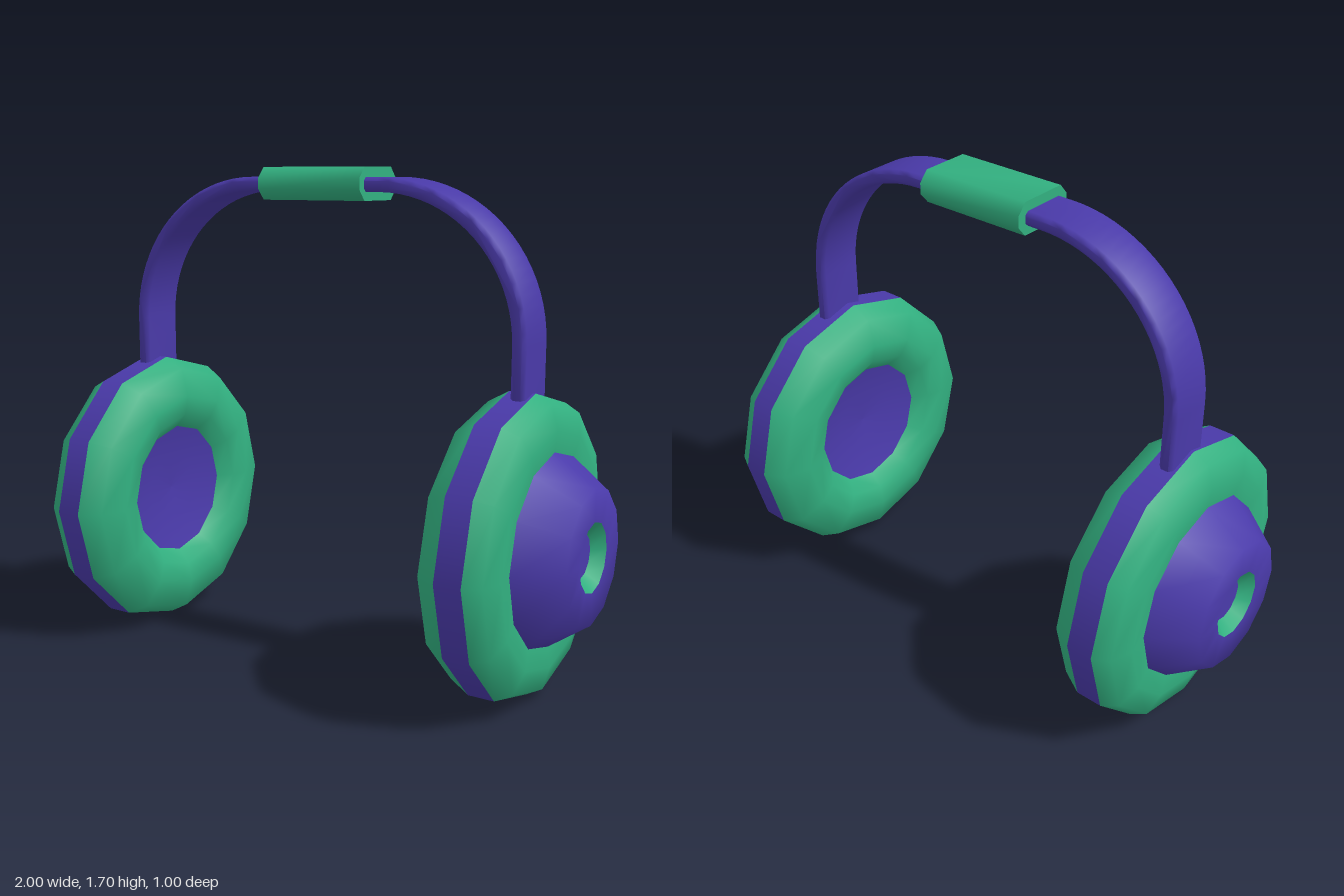
import * as THREE from 'three';
import { toCreasedNormals } from 'three/addons/utils/BufferGeometryUtils.js';

const purple = new THREE.MeshStandardMaterial({ color: 0x4a3aaa });
const green = new THREE.MeshStandardMaterial({ color: 0x32b080 });
purple.name = 'purple';
green.name = 'green';

function addMesh(parent, name, geometry, material) {
  const mesh = new THREE.Mesh(geometry, material);
  mesh.name = name;
  parent.add(mesh);
  return mesh;
}

// Twelve-sided ring turned around the x axis; points are [radius, x]
function turned(points) {
  const profile = points.map(([r, x]) => new THREE.Vector2(r, x));
  return new THREE.LatheGeometry(profile, 12).rotateZ(-Math.PI / 2);
}

// One ear cup, listed from the ear side to the outer side
function createCup(name) {
  const cup = new THREE.Group();
  cup.name = name;
  addMesh(cup, 'speakerDish', turned([[0, 0.69], [0.13, 0.682], [0.24, 0.655]]), purple);
  addMesh(cup, 'earCushion',
    turned([[0.24, 0.655], [0.29, 0.612], [0.36, 0.6], [0.46, 0.627], [0.5, 0.7]]), green);
  addMesh(cup, 'cupBand', turned([[0.5, 0.7], [0.5, 0.79]]), purple);
  addMesh(cup, 'outerShell',
    turned([[0.5, 0.79], [0.47, 0.845], [0.39, 0.868], [0.32, 0.86]]), green);
  addMesh(cup, 'outerCap', turned([[0.32, 0.86], [0.222, 1], [0.115, 1]]), purple);
  addMesh(cup, 'capRing', turned([[0.115, 1], [0.075, 0.96]]), green);
  addMesh(cup, 'capCentre', turned([[0.075, 0.96], [0, 0.96]]), purple);
  cup.position.y = 0.5;
  return cup;
}

// Arched strip with straight legs and slightly bevelled edges
function createHeadband() {
  const arch = new THREE.Shape();
  arch.moveTo(0.78, 0.95);
  arch.lineTo(0.78, 1.15);
  arch.absellipse(0.25, 1.15, 0.53, 0.515, 0, Math.PI / 2, false);
  arch.absellipse(-0.25, 1.15, 0.53, 0.515, Math.PI / 2, Math.PI, false);
  arch.lineTo(-0.78, 0.95);
  arch.lineTo(-0.73, 0.95);
  arch.lineTo(-0.73, 1.15);
  arch.absellipse(-0.25, 1.15, 0.48, 0.467, Math.PI, Math.PI / 2, true);
  arch.absellipse(0.25, 1.15, 0.48, 0.467, Math.PI / 2, 0, true);
  arch.lineTo(0.73, 0.95);
  const geometry = new THREE.ExtrudeGeometry(arch, {
    depth: 0.151, curveSegments: 10, bevelEnabled: true,
    bevelThickness: 0.012, bevelSize: 0.012, bevelOffset: -0.012, bevelSegments: 1,
  });
  geometry.translate(0, 0, -0.0955);
  return toCreasedNormals(geometry, Math.PI / 3);
}

// Eight-sided sleeve around the top of the headband
function createSleeve() {
  const w = 0.118, h = 0.055, cz = 0.032, cy = 0.036;
  const section = new THREE.Shape([
    [w, -h + cy], [w, h - cy], [w - cz, h], [-w + cz, h],
    [-w, h - cy], [-w, -h + cy], [-w + cz, -h], [w - cz, -h],
  ].map(([a, b]) => new THREE.Vector2(a, b)));
  const geometry = new THREE.ExtrudeGeometry(section, { depth: 0.4, bevelEnabled: false });
  geometry.translate(0, 0, -0.2).rotateY(Math.PI / 2).translate(0, 1.643, -0.022);
  return toCreasedNormals(geometry, Math.PI / 3);
}

export function createModel() {
  const model = new THREE.Group();
  model.name = 'headphones';
  const leftCup = createCup('leftCup');
  const rightCup = createCup('rightCup');
  rightCup.rotation.y = Math.PI;
  model.add(leftCup, rightCup);
  addMesh(model, 'headband', createHeadband(), purple);
  addMesh(model, 'headbandSleeve', createSleeve(), green);
  return model;
}
